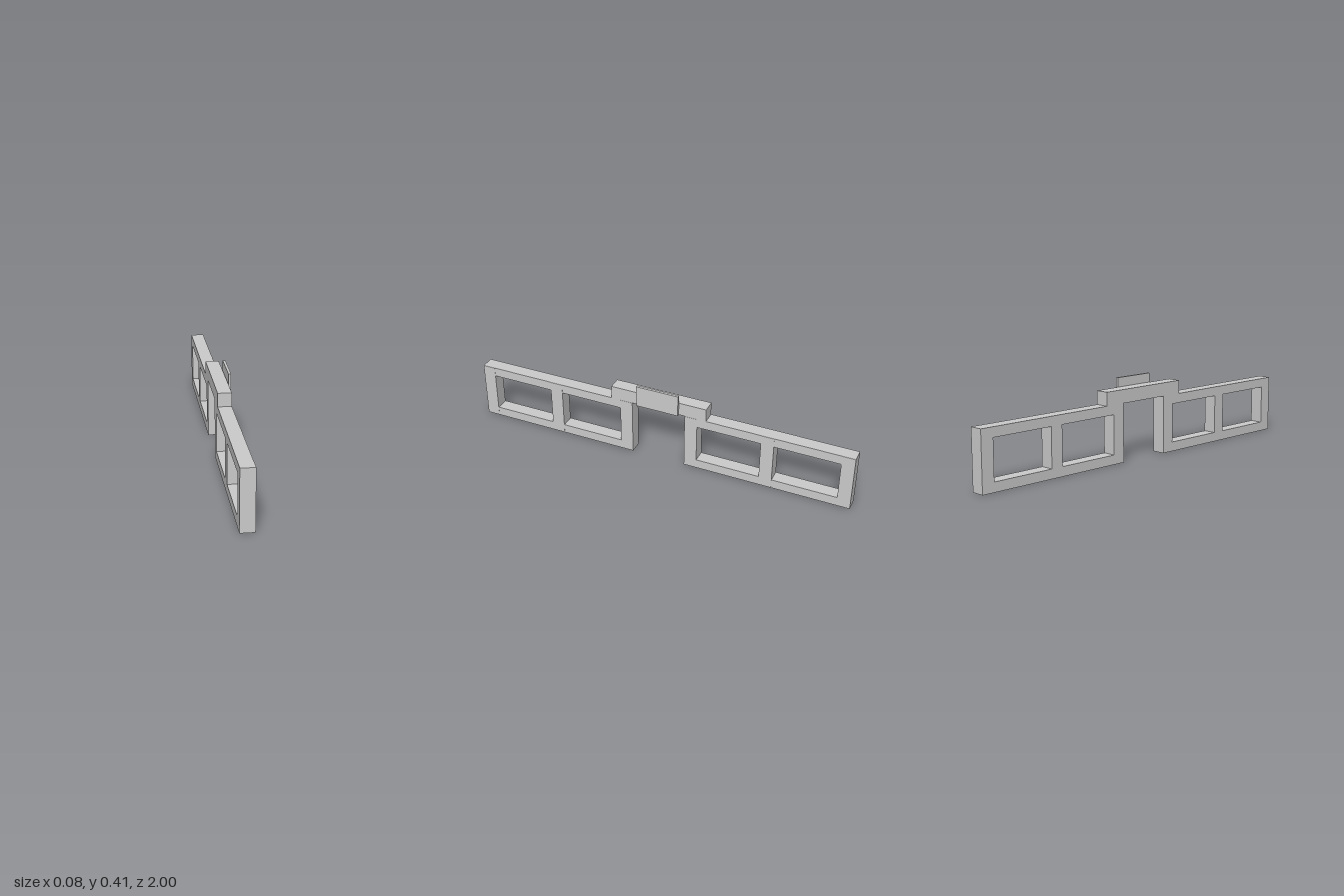
import * as THREE from 'three';

const material = new THREE.MeshStandardMaterial({ color: 0xcccccc, flatShading: true });

// Box given by its min and max along each axis
function box(name, [x0, x1], [y0, y1], [z0, z1]) {
  const mesh = new THREE.Mesh(new THREE.BoxGeometry(x1 - x0, y1 - y0, z1 - z0), material);
  mesh.position.set((x0 + x1) / 2, (y0 + y1) / 2, (z0 + z1) / 2);
  mesh.name = name;
  return mesh;
}

export function createModel() {
  const model = new THREE.Group();
  model.name = 'fenceGateway';

  const depth = [-0.042, 0.026];
  const railHeight = 0.048;
  const top = 0.295;
  const postWidth = 0.066;

  // Two fence panels, one on each side of the opening
  for (const side of [1, -1]) {
    const panel = new THREE.Group();
    panel.name = side > 0 ? 'frontPanel' : 'backPanel';
    const span = (a, b) => (side > 0 ? [a, b] : [-b, -a]);

    // Bottom and top rails
    panel.add(box('bottomRail', depth, [0, railHeight], span(0.141, 1)));
    panel.add(box('topRail', depth, [top - railHeight, top], span(0.141, 1)));

    // Posts between the rails, a hair proud of them on one face
    for (const z of [0.141, 0.537, 1 - postWidth]) {
      panel.add(box('post', [-0.042, 0.027], [0.001, top - 0.001], span(z, z + postWidth)));
    }
    model.add(panel);
  }

  // Lintel bridging the opening, and the sign plate beside it
  model.add(box('lintel', depth, [top, 0.363], [-0.253, 0.255]));
  model.add(box('signPlate', [0.029, 0.042], [0.297, 0.409], [-0.111, 0.111]));

  return model;
}
